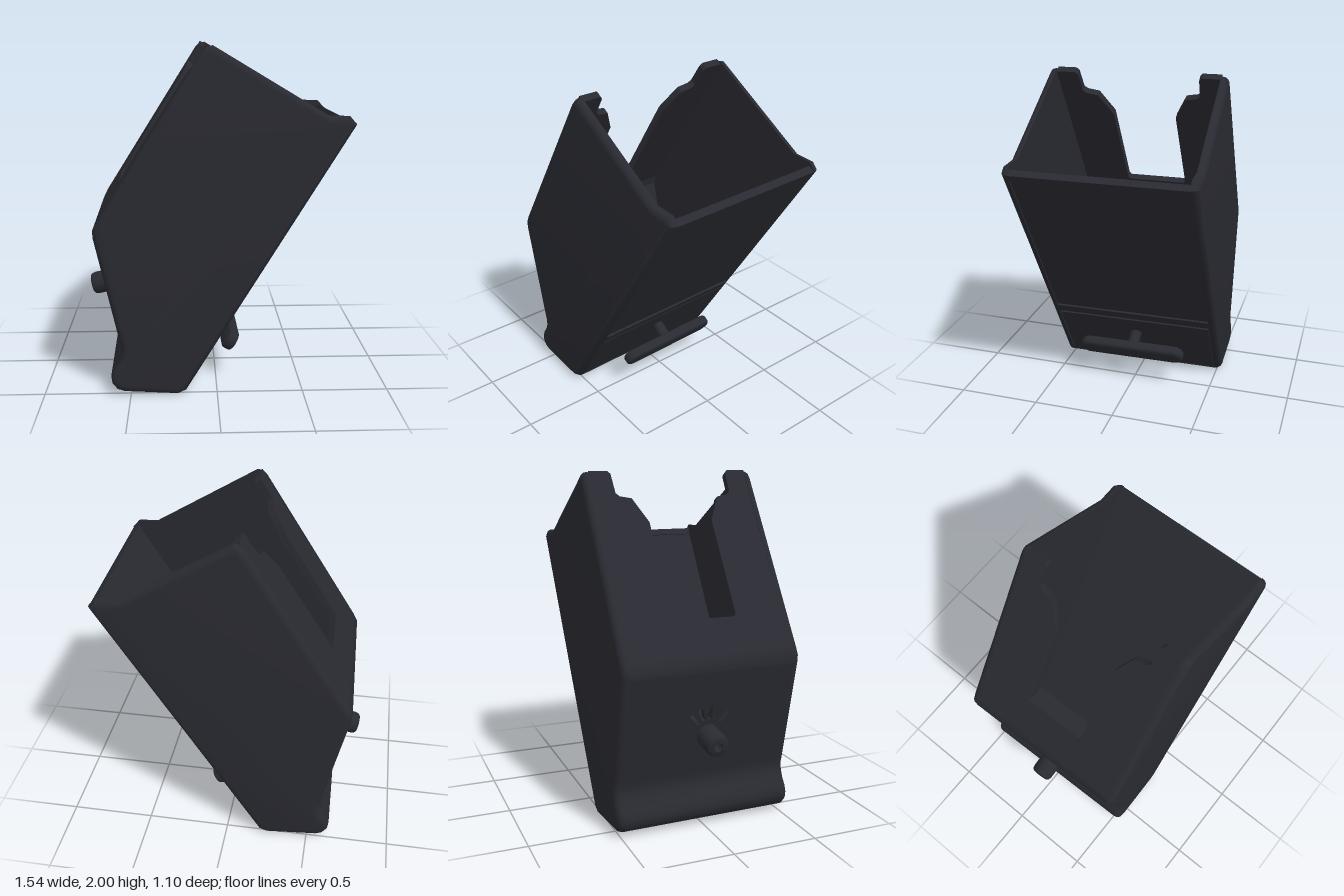
import * as THREE from 'three';
import { toCreasedNormals } from 'three/addons/utils/BufferGeometryUtils.js';

const V = (a) => a.map(([x, y]) => new THREE.Vector2(x, y));
const HALF = 0.494; // half width of the panels between the side walls

export function createModel() {
  const root = new THREE.Group();
  root.name = 'tiltedBin';
  const body = new THREE.Group();
  body.name = 'binBody';
  body.rotation.y = 0.021;
  root.add(body);
  const plastic = new THREE.MeshStandardMaterial({ color: 0x292a31 });
  plastic.name = 'charcoalPlastic';

  const add = (name, geo, parent = body) => {
    const mesh = new THREE.Mesh(toCreasedNormals(geo, 0.6), plastic);
    mesh.name = name;
    parent.add(mesh);
    return mesh;
  };

  // Lay a shape drawn in (distance along the wall, z) onto the wall from p to q
  const onWall = (p, q) => {
    const u = new THREE.Vector3(q[0] - p[0], q[1] - p[1], 0).normalize();
    const z = new THREE.Vector3(0, 0, 1);
    const n = new THREE.Vector3().crossVectors(u, z);
    return new THREE.Matrix4().makeBasis(u, z, n).setPosition(p[0], p[1], 0);
  };
  const slab = (name, shape, matrix, from, to, extra = {}) => {
    const geo = new THREE.ExtrudeGeometry(shape, { depth: to - from, bevelEnabled: false, curveSegments: 8, ...extra });
    geo.translate(0, 0, from);
    return add(name, geo.applyMatrix4(matrix));
  };
  const rect = (a, b, half = HALF) => new THREE.Shape(V([[a, -half], [b, -half], [b, half], [a, half]]));
  // Strip with a constant xy section, running across the whole width
  const across = (name, points) => {
    const geo = new THREE.ExtrudeGeometry(new THREE.Shape(V(points)), { depth: 2 * HALF, bevelEnabled: false });
    return add(name, geo.translate(0, 0, -HALF));
  };
  const round = (x, y, r) => new THREE.Path().absarc(x, y, r, 0, Math.PI * 2, true);

  // Side walls: rounded outside, flat inside
  const foot = [[-0.19, 0.03], [-0.24, 0.008], [-0.55, 0.03], [-0.59, 0.045], [-0.618, 0.08], [-0.624, 0.12],
    [-0.608, 0.165], [-0.577, 0.21], [-0.562, 0.25], [-0.56, 0.29], [-0.57, 0.33]];
  const profile = [...foot, [-0.705, 0.94], [-0.708, 0.985], [-0.685, 1.03], [-0.095, 1.965],
    [-0.07, 1.99], [-0.035, 1.998], [0.6, 1.62], [0.72, 1.615], [0.76, 1.57]];
  for (const side of [1, -1]) {
    const geo = new THREE.ExtrudeGeometry(new THREE.Shape(V(profile).reverse()), {
      depth: 0.006, bevelThickness: 0.04, bevelSize: 0.04, bevelOffset: -0.04, bevelSegments: 4,
    });
    const pos = geo.attributes.position;
    for (let i = 0; i < pos.count; i++) pos.setZ(i, Math.max(pos.getZ(i), 0));
    geo.translate(0, 0, 0.492);
    add(side > 0 ? 'frontSideWall' : 'rearSideWall', geo).scale.z = side;
  }

  // Foot with the floor of the bin
  across('foot', [...foot, [-0.53, 0.33], [-0.52, 0.25], [-0.5, 0.11], [-0.17, 0.09]]);

  // Perforated sloping wall
  const front = onWall([-0.19, 0.03], [0.76, 1.57]);
  const mesh = rect(0.54, 1.77);
  for (let row = 0; row < 16; row++) {
    for (let col = -6; col <= 6; col++) mesh.holes.push(round(0.61 + row * 0.076, col * 0.079, 0.029));
  }
  slab('perforatedWall', mesh, front, -0.038, -0.01, { curveSegments: 6 });
  slab('wallTopLip', rect(1.762, 1.805), front, -0.045, 0);
  slab('ridge', rect(0.5, 0.56), front, -0.04, 0.002);

  // Lower door with a bordered panel
  slab('lowerWall', rect(0, 0.5), front, -0.045, -0.012);
  slab('doorPanel', rect(0.015, 0.475, 0.485), front, -0.012, -0.002);

  // T handle
  const grip = new THREE.Shape();
  grip.absarc(0.325, 0.275, 0.04, 0, Math.PI, false);
  grip.absarc(0.325, -0.275, 0.04, Math.PI, Math.PI * 2, false);
  slab('handleGrip', grip, front, 0.107, 0.132,
    { bevelEnabled: true, bevelSize: 0.022, bevelThickness: 0.02, bevelSegments: 4 });
  const stem = new THREE.CylinderGeometry(0.036, 0.036, 0.12, 16).rotateX(Math.PI / 2).translate(0.325, 0, 0.05);
  add('handleStem', stem.applyMatrix4(front));

  // Lower back wall with radiating slits above the knob
  const lower = onWall([-0.57, 0.33], [-0.705, 0.94]);
  const lowerShape = rect(0, 0.625);
  const knobAt = 0.23;
  lowerShape.holes.push(round(knobAt, 0, 0.026));
  for (let i = -2; i <= 2; i++) {
    const a = i * 0.35;
    const at = (r, w) => [knobAt + r * Math.cos(a) - w * Math.sin(a), r * Math.sin(a) + w * Math.cos(a)];
    lowerShape.holes.push(new THREE.Path(V([at(0.1, -0.009), at(0.1, 0.009), at(0.18, 0.014), at(0.18, -0.014)])));
  }
  slab('lowerBackWall', lowerShape, lower, 0, 0.04);

  // Hollow knob
  const knob = new THREE.LatheGeometry(V([[0.026, 0], [0.068, 0], [0.068, 0.12], [0.062, 0.14], [0.05, 0.148],
    [0.026, 0.148], [0.026, 0]]), 20);
  knob.rotateX(-Math.PI / 2).translate(knobAt, 0, 0.005);
  add('knob', knob.applyMatrix4(lower));

  // Bend between the two back walls
  across('backBend', [[-0.705, 0.94], [-0.708, 0.985], [-0.685, 1.03], [-0.651, 1.008], [-0.666, 0.949]]);

  // Upper back wall with a stepped opening
  const half = [[0.215, 0.185], [0.235, 0.195], [0.82, 0.195], [0.975, 0.27], [0.99, 0.34], [1.01, 0.36], [1.135, 0.365], [1.154, 0.38]];
  const upperShape = new THREE.Shape(V([[0, -HALF], [1.154, -HALF],
    ...half.map(([s, z]) => [s, -z]).reverse(), ...half, [1.154, HALF], [0, HALF]]));
  slab('upperBackWall', upperShape, onWall([-0.685, 1.03], [-0.07, 1.995]), 0, 0.042);

  return root;
}
